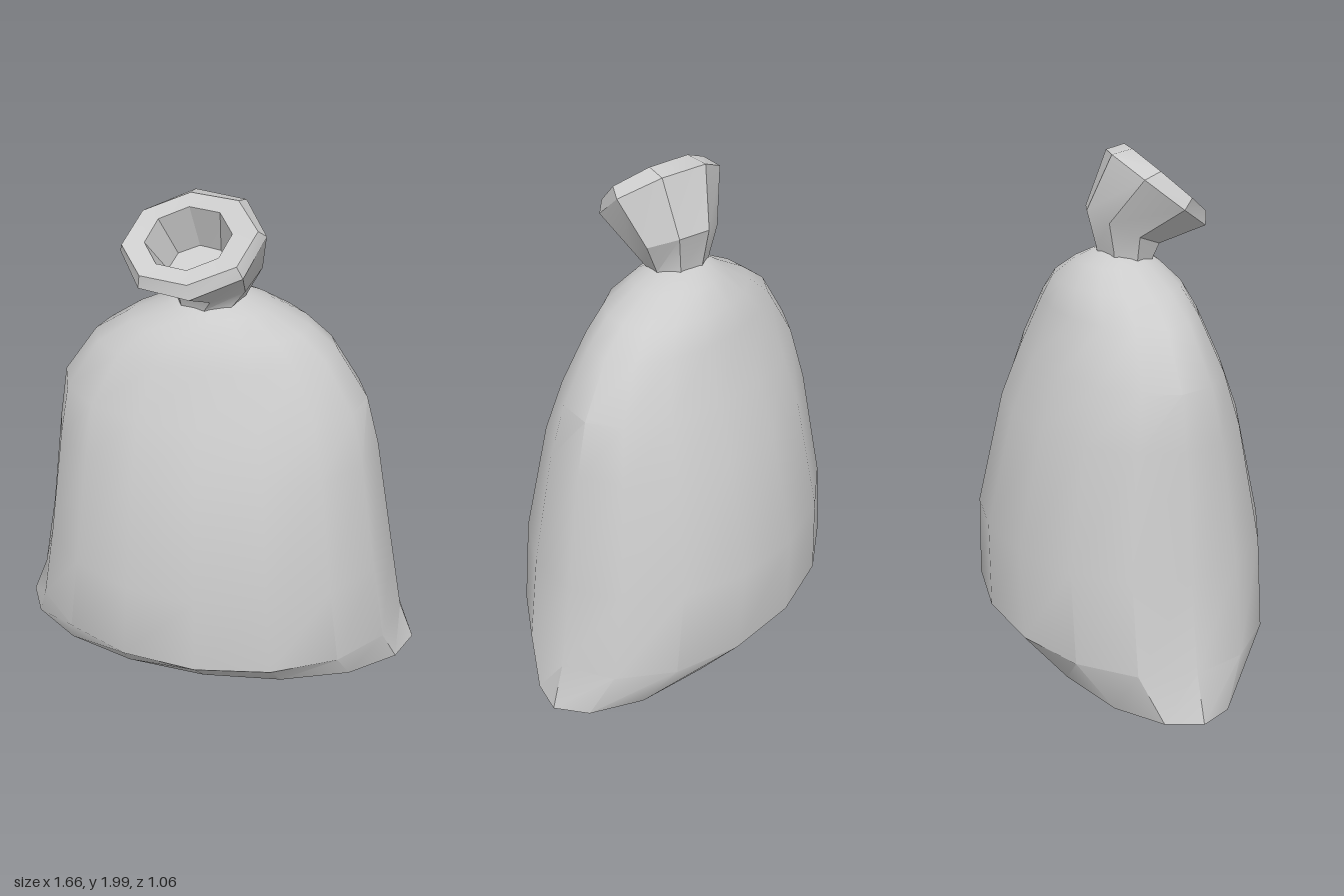
import * as THREE from 'three';
import { toCreasedNormals } from 'three/addons/utils/BufferGeometryUtils.js';

// Skins a stack of closed rings (arrays of Vector3) and closes both ends.
function loft(rings, crease) {
  const n = rings[0].length;
  const pos = rings.flat().flatMap((p) => [p.x, p.y, p.z]);
  const idx = [];
  for (let r = 0; r < rings.length - 1; r++) {
    for (let i = 0; i < n; i++) {
      const j = (i + 1) % n;
      const a = r * n + i, b = r * n + j, c = a + n, d = b + n;
      idx.push(a, b, d, a, d, c);
    }
  }
  [0, rings.length - 1].forEach((r, end) => {
    const mid = new THREE.Vector3();
    rings[r].forEach((p) => mid.addScaledVector(p, 1 / n));
    const m = pos.length / 3;
    pos.push(mid.x, mid.y, mid.z);
    for (let i = 0; i < n; i++) {
      const a = r * n + i, b = r * n + ((i + 1) % n);
      if (end) idx.push(m, a, b);
      else idx.push(m, b, a);
    }
  });
  const g = new THREE.BufferGeometry();
  g.setAttribute('position', new THREE.Float32BufferAttribute(pos, 3));
  g.setIndex(idx);
  return toCreasedNormals(g, crease);
}

// Horizontal lens-shaped section: tips on x, optionally lifted and pinched.
function sackRing([y, hx, hz, cx = 0, lift = 0, pinch = 1]) {
  return Array.from({ length: 16 }, (_, i) => {
    const a = (i / 16) * Math.PI * 2, c = Math.cos(a), s = Math.sin(a);
    return new THREE.Vector3(
      cx + hx * c,
      y + lift * c ** 4,
      -hz * Math.sign(s) * Math.abs(s) ** pinch
    );
  });
}

// Tilted octagon: centre, half width, half depth, forward pitch and sideways roll.
function neckRing([x, y, z, ru, rv, pitch, roll]) {
  const turn = new THREE.Euler(pitch, 0, roll, 'ZXY');
  return Array.from({ length: 8 }, (_, i) => {
    const a = (i / 8) * Math.PI * 2;
    return new THREE.Vector3(ru * Math.cos(a), 0, -rv * Math.sin(a))
      .applyEuler(turn)
      .add(new THREE.Vector3(x, y, z));
  });
}

export function createModel() {
  const group = new THREE.Group();
  const material = new THREE.MeshStandardMaterial({ color: 0xcccccc });
  const add = (name, geometry) => {
    const mesh = new THREE.Mesh(geometry, material);
    mesh.name = name;
    group.add(mesh);
  };

  // Filled sack: y, half width, half depth, centre x, tip lift, pinch
  const body = [
    [0, 0.6, 0.19, 0, 0.015],
    [0.045, 0.83, 0.36, 0, 0.027, 1.1],
    [0.24, 0.765, 0.53],
    [0.58, 0.7, 0.53],
    [1.03, 0.625, 0.425, -0.01],
    [1.23, 0.58, 0.345, -0.02],
    [1.42, 0.455, 0.265, -0.015],
    [1.51, 0.335, 0.225, 0],
    [1.58, 0.195, 0.155, 0],
    [1.625, 0.1, 0.085, -0.02],
  ];
  add('sackBody', loft(body.map(sackRing), 0.62));

  // Gathered neck flaring to a thick lip, then folding inward to a hollow
  const neck = [
    [-0.02, 1.55, 0.02, 0.13, 0.1, 0, 0],
    [-0.03, 1.615, 0.02, 0.13, 0.11, 0.15, 0],
    [-0.01, 1.71, 0.02, 0.17, 0.155, 0.41, 0.12],
    [-0.07, 1.85, 0.125, 0.26, 0.22, 0.62, 0.18],
    [-0.075, 1.885, 0.16, 0.24, 0.175, 0.68, 0.18],
    [-0.08, 1.88, 0.15, 0.155, 0.12, 0.68, 0.18],
    [-0.06, 1.74, 0.08, 0.11, 0.09, 0.6, 0.15],
  ];
  add('tiedNeck', loft(neck.map(neckRing), 0.5));

  return group;
}
